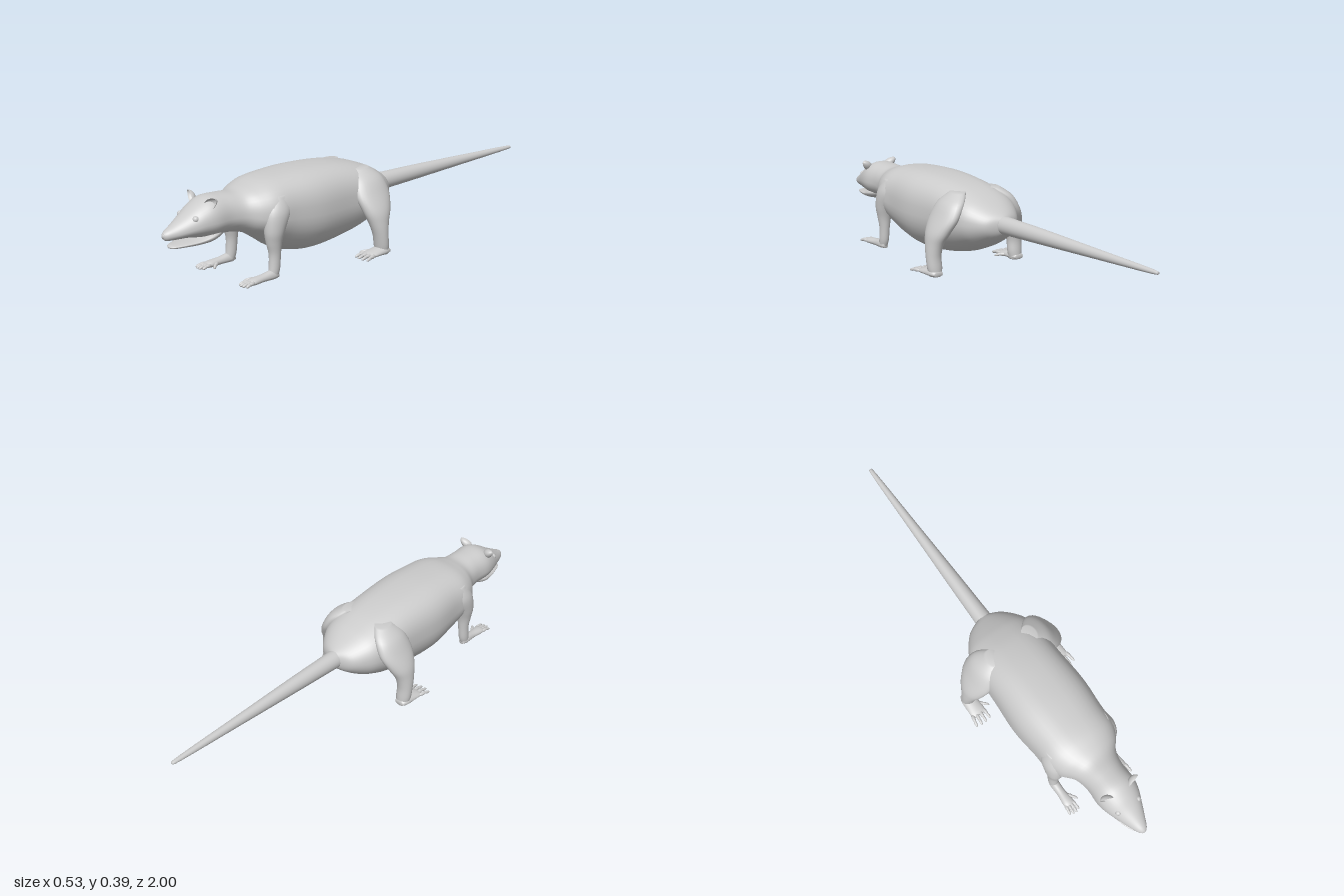
import * as THREE from 'three';

const material = new THREE.MeshStandardMaterial({ color: 0xcccccc, side: THREE.DoubleSide });

// Smooth closed skin through rows of section values; place(row, cos, sin) gives a point
function loft(rows, place, radial = 40, steps = 5) {
  const splines = rows[0].map((_, k) =>
    new THREE.SplineCurve(rows.map((r, i) => new THREE.Vector2(i, r[k]))));
  const rings = (rows.length - 1) * steps;
  const pos = [], index = [];
  const ring = (row, flat) => {
    for (let j = 0; j < radial; j++) {
      const a = (j / radial) * Math.PI * 2;
      pos.push(...place(row, flat ? 0 : Math.cos(a), flat ? 0 : Math.sin(a)));
    }
  };
  ring(rows[0], true);
  for (let i = 0; i <= rings; i++) ring(splines.map(s => s.getPoint(i / rings).y), false);
  ring(rows[rows.length - 1], true);
  for (let i = 0; i < rings + 2; i++) {
    for (let j = 0; j < radial; j++) {
      const a = i * radial + j, b = i * radial + (j + 1) % radial;
      index.push(a, b, a + radial, b, b + radial, a + radial);
    }
  }
  const g = new THREE.BufferGeometry();
  g.setAttribute('position', new THREE.Float32BufferAttribute(pos, 3));
  g.setIndex(index);
  g.computeVertexNormals();
  return g;
}

const power = (v, p) => Math.sign(v) * Math.pow(Math.abs(v), p);

// Upright sections along z: [z, top, bottom, half width, height of widest point, roundness]
const alongZ = (rows, cx = 0) => loft(rows, ([z, top, bottom, w, mid, p], c, s) => {
  const q = s > 0 ? p : 1;
  return [cx + w * power(c, q), mid + (s > 0 ? top - mid : mid - bottom) * power(s, q), z];
});

// Level sections up a leg: [y, centre x, centre z, radius x, radius z]
const upLeg = (rows, side) => loft(rows, ([y, cx, cz, rx, rz], c, s) =>
  [side * cx + rx * s, y, cz + rz * c], 28);

function createModel() {
  const model = new THREE.Group();
  model.name = 'rodent';
  const add = (name, geometry, parent = model) => {
    const m = new THREE.Mesh(geometry, material);
    m.name = name;
    parent.add(m);
    return m;
  };

  // Rump, trunk, neck, head and upper snout in one skin
  add('body', alongZ([
    [-0.125, 0.262, 0.19, 0.035, 0.227, 1],
    [-0.1, 0.28, 0.165, 0.085, 0.225, 0.95],
    [-0.05, 0.31, 0.13, 0.128, 0.225, 0.85],
    [0, 0.335, 0.105, 0.152, 0.225, 0.8],
    [0.08, 0.362, 0.075, 0.165, 0.22, 0.77],
    [0.2, 0.382, 0.05, 0.17, 0.22, 0.75],
    [0.35, 0.39, 0.042, 0.178, 0.22, 0.75],
    [0.48, 0.386, 0.072, 0.168, 0.23, 0.75],
    [0.56, 0.378, 0.125, 0.165, 0.24, 0.8],
    [0.62, 0.362, 0.165, 0.14, 0.25, 0.85],
    [0.67, 0.35, 0.185, 0.102, 0.26, 0.9],
    [0.73, 0.354, 0.195, 0.088, 0.265, 0.9],
    [0.8, 0.355, 0.197, 0.09, 0.265, 0.9],
    [0.85, 0.335, 0.203, 0.08, 0.262, 0.95],
    [0.9, 0.302, 0.212, 0.06, 0.25, 0.95],
    [0.95, 0.273, 0.214, 0.038, 0.24, 1],
    [0.983, 0.256, 0.216, 0.022, 0.236, 1],
    [0.996, 0.246, 0.224, 0.01, 0.235, 1],
  ]));

  add('lowerJaw', alongZ([
    [0.73, 0.24, 0.2, 0.04, 0.22, 1],
    [0.8, 0.23, 0.18, 0.072, 0.21, 1],
    [0.86, 0.207, 0.176, 0.061, 0.197, 1],
    [0.92, 0.199, 0.178, 0.043, 0.192, 1],
    [0.96, 0.195, 0.18, 0.025, 0.189, 1],
    [0.972, 0.19, 0.184, 0.01, 0.187, 1],
  ]));

  add('tail', alongZ([
    [-1, 0.228, 0.222, 0.004, 0.225, 1],
    [-0.96, 0.235, 0.216, 0.011, 0.225, 1],
    [-0.65, 0.248, 0.205, 0.021, 0.226, 1],
    [-0.35, 0.26, 0.195, 0.031, 0.227, 1],
    [-0.12, 0.266, 0.188, 0.038, 0.227, 1],
    [-0.05, 0.27, 0.184, 0.045, 0.227, 1],
  ]));

  add('nose', new THREE.SphereGeometry(0.014, 20, 14)).position.set(0, 0.236, 0.986);

  // Digit: a knuckle and a tapering tip, both drawn-out spheres
  const segment = (name, a, b, r, parent) => {
    const d = b.clone().sub(a);
    const m = add(name, new THREE.SphereGeometry(1, 12, 10), parent);
    m.scale.set(r, r, d.length() / 2);
    m.quaternion.setFromUnitVectors(new THREE.Vector3(0, 0, 1), d.normalize());
    m.position.copy(a).add(b).multiplyScalar(0.5);
  };
  const digit = (side, x0, z0, x1, z1, parent) => {
    const a = new THREE.Vector3(side * x0, 0.016, z0);
    const b = new THREE.Vector3(side * x1, 0.009, z1);
    const mid = a.clone().lerp(b, 0.5).setY(0.019);
    segment('toe', a, mid.clone().lerp(b, 0.35), 0.008, parent);
    segment('toeTip', mid.clone().lerp(a, 0.2), b, 0.0065, parent);
  };

  for (const side of [1, -1]) {
    const label = side > 0 ? 'left' : 'right';

    add(label + 'Eye', new THREE.SphereGeometry(0.013, 18, 14)).position.set(side * 0.049, 0.288, 0.88);

    // Ear: shallow leaf-shaped cup opening forward
    const ear = new THREE.SphereGeometry(1, 28, 10, 0, Math.PI * 2, 0, Math.PI / 2);
    ear.rotateX(-Math.PI / 2);
    const p = ear.attributes.position;
    for (let i = 0; i < p.count; i++) p.setY(i, p.getY(i) * (1 - 0.25 * p.getX(i)));
    ear.scale(0.032, 0.02, 0.022);
    ear.computeVertexNormals();
    ear.rotateZ(side > 0 ? 0.62 : Math.PI - 0.62);
    ear.rotateY(side * 0.3);
    add(label + 'Ear', ear).position.set(side * 0.066, 0.34, 0.822);

    // Front leg, paw and digits
    const front = new THREE.Group();
    front.name = label + 'FrontLeg';
    model.add(front);
    add('frontLimb', upLeg([
      [0.006, 0.137, 0.59, 0.017, 0.022],
      [0.04, 0.137, 0.58, 0.021, 0.024],
      [0.1, 0.136, 0.575, 0.023, 0.025],
      [0.15, 0.135, 0.577, 0.03, 0.034],
      [0.2, 0.136, 0.572, 0.037, 0.046],
      [0.27, 0.13, 0.55, 0.042, 0.06],
      [0.33, 0.11, 0.535, 0.035, 0.045],
    ], side), front);
    add('frontPaw', alongZ([
      [0.565, 0.024, 0.004, 0.013, 0.014, 1],
      [0.59, 0.04, 0.001, 0.02, 0.016, 1],
      [0.64, 0.033, 0.002, 0.019, 0.016, 1],
      [0.69, 0.029, 0.002, 0.024, 0.015, 1],
      [0.71, 0.021, 0.006, 0.018, 0.014, 1],
    ], side * 0.138), front);
    for (let i = 0; i < 4; i++) {
      const u = i - 1.5;
      digit(side, 0.138 + u * 0.011, 0.69, 0.139 + u * 0.015, 0.75 - Math.abs(u) * 0.007, front);
    }
    digit(side, 0.128, 0.655, 0.093, 0.7, front);

    // Hind leg, foot and digits
    const hind = new THREE.Group();
    hind.name = label + 'HindLeg';
    model.add(hind);
    add('hindLimb', upLeg([
      [0.004, 0.218, 0.072, 0.027, 0.026],
      [0.04, 0.219, 0.076, 0.034, 0.029],
      [0.09, 0.22, 0.082, 0.034, 0.033],
      [0.14, 0.212, 0.085, 0.038, 0.046],
      [0.19, 0.195, 0.082, 0.045, 0.068],
      [0.25, 0.165, 0.077, 0.045, 0.086],
      [0.31, 0.13, 0.075, 0.043, 0.075],
      [0.35, 0.09, 0.08, 0.03, 0.04],
    ], side), hind);
    add('hindFoot', alongZ([
      [0.045, 0.024, 0.004, 0.022, 0.014, 1],
      [0.07, 0.04, 0.001, 0.032, 0.016, 1],
      [0.11, 0.035, 0.002, 0.034, 0.016, 1],
      [0.145, 0.027, 0.003, 0.034, 0.015, 1],
      [0.16, 0.02, 0.007, 0.027, 0.014, 1],
    ], side * 0.221), hind);
    for (let i = 0; i < 4; i++) {
      const u = i - 1.5;
      digit(side, 0.222 + u * 0.018, 0.14, 0.226 + u * 0.023, 0.208 - Math.abs(u) * 0.006, hind);
    }
    digit(side, 0.205, 0.105, 0.16, 0.145, hind);
  }
  return model;
}

export { createModel };
